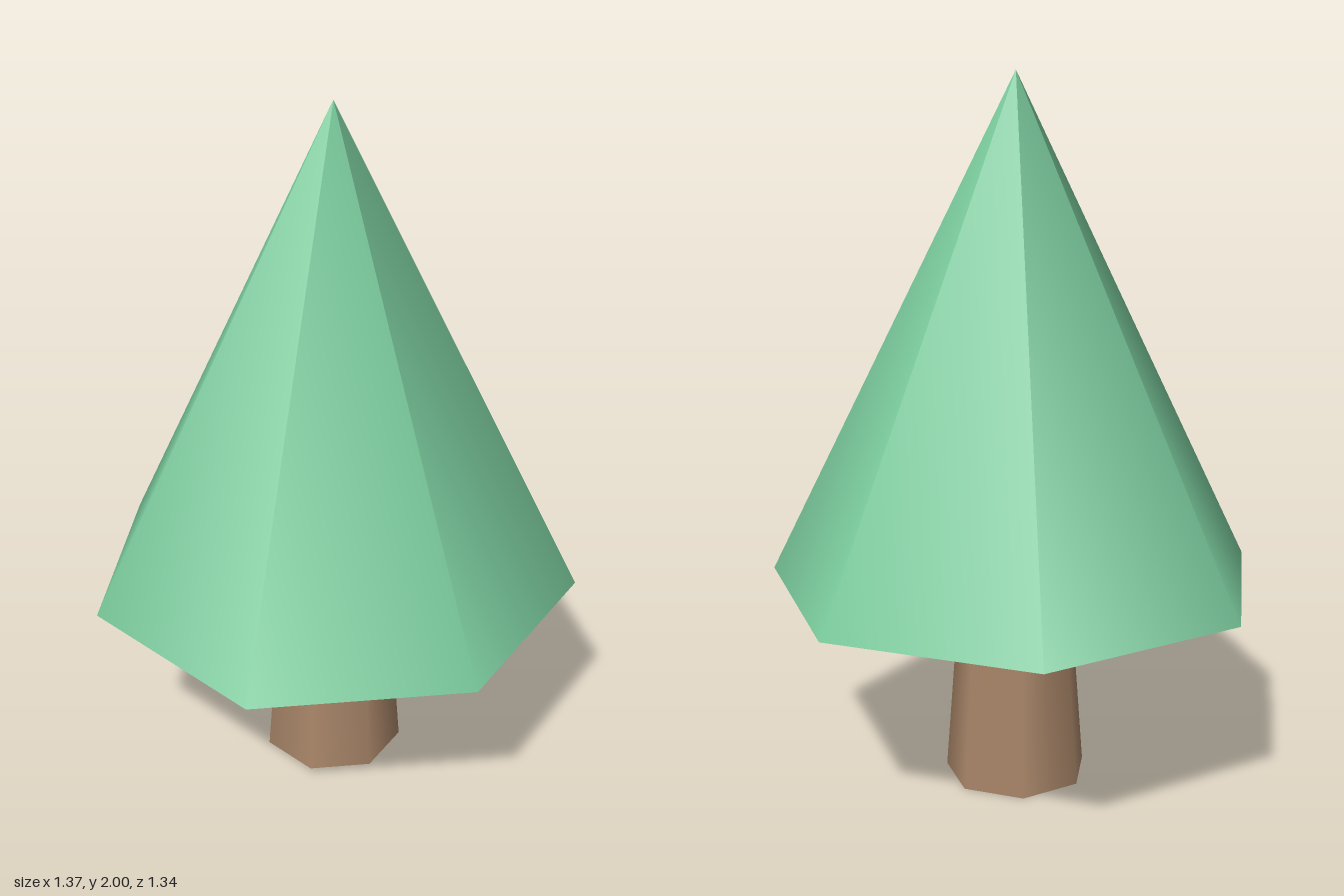
import * as THREE from 'three';

const SIDES = 7;
const AXIS_Z = -0.035; // the seven-sided outline is centred by its bounds, so its axis sits slightly back
const CROWN_BASE = 0.585;

export function createModel() {
  const tree = new THREE.Group();
  tree.name = 'tree';

  const addPart = (name, geometry, color, bottom, height) => {
    const mesh = new THREE.Mesh(geometry, new THREE.MeshStandardMaterial({ color }));
    mesh.name = name;
    mesh.position.set(0, bottom + height / 2, AXIS_Z);
    tree.add(mesh);
  };

  // Tapered trunk, smooth shaded with flat caps
  addPart('trunk', new THREE.CylinderGeometry(0.16, 0.205, CROWN_BASE, SIDES), 0xa88568, 0, CROWN_BASE);

  // Conical crown with a closed underside
  const crownHeight = 2 - CROWN_BASE;
  addPart('crown', new THREE.ConeGeometry(0.705, crownHeight, SIDES), 0x7aca9c, CROWN_BASE, crownHeight);

  return tree;
}
